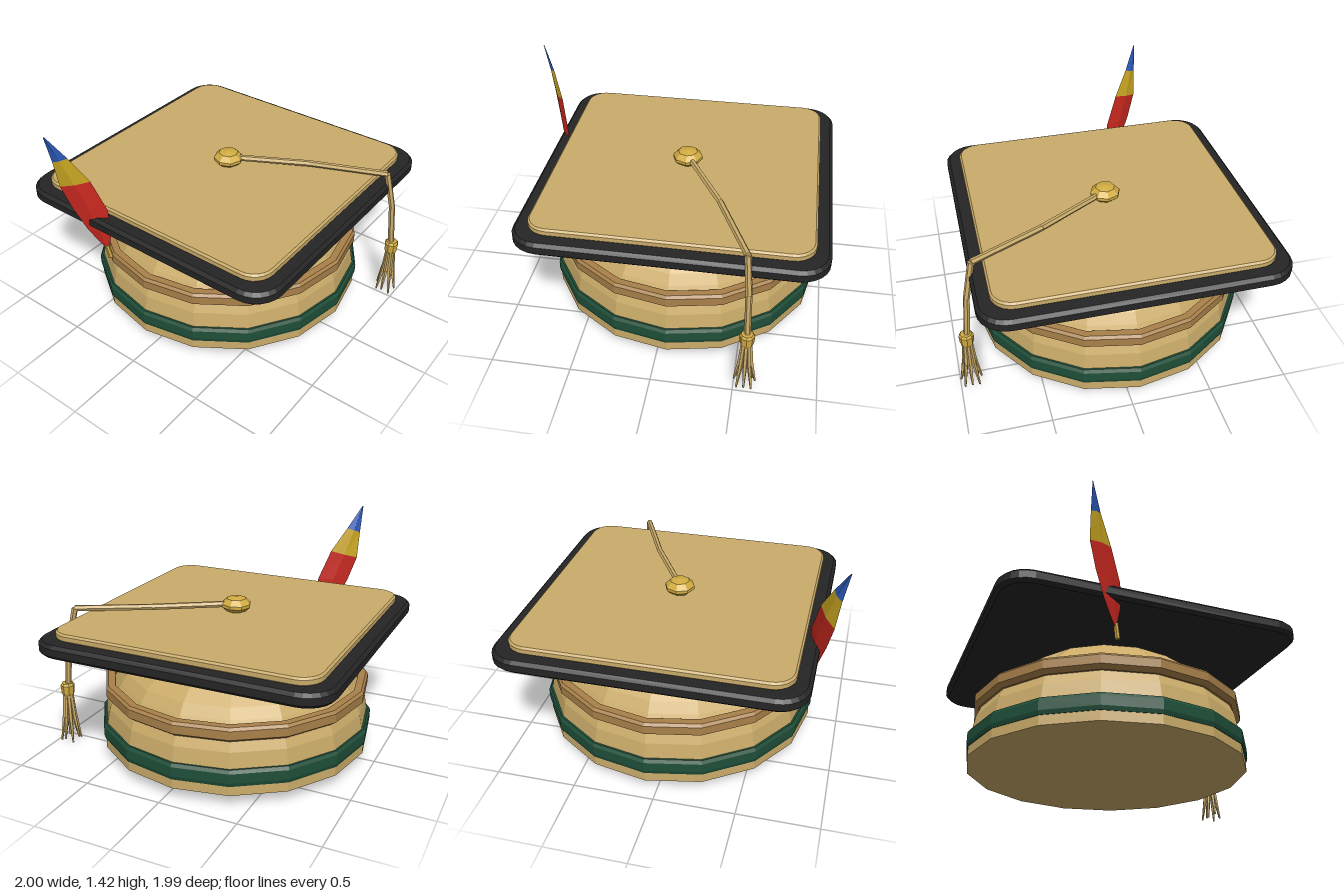
import * as THREE from 'three';

const mat = (name, color) => {
  const m = new THREE.MeshStandardMaterial({ color });
  m.name = name;
  return m;
};

// Faceted look: split the vertices so every face has its own normal
function facet(geo) {
  const g = geo.index ? geo.toNonIndexed() : geo;
  g.computeVertexNormals();
  return g;
}

function part(parent, name, geo, material) {
  const m = new THREE.Mesh(facet(geo), material);
  m.name = name;
  parent.add(m);
  return m;
}

const lathe = (pts, sides) =>
  new THREE.LatheGeometry(pts.map(([r, y]) => new THREE.Vector2(r, y)), sides);

// Square slab with rounded corners and chamfered rims, lying flat
function slab(half, corner, bottom, top, bevel) {
  const h = half - bevel, r = corner, s = new THREE.Shape();
  s.moveTo(-h + r, -h);
  s.lineTo(h - r, -h);
  s.absarc(h - r, -h + r, r, -Math.PI / 2, 0);
  s.lineTo(h, h - r);
  s.absarc(h - r, h - r, r, 0, Math.PI / 2);
  s.lineTo(-h + r, h);
  s.absarc(-h + r, h - r, r, Math.PI / 2, Math.PI);
  s.lineTo(-h, -h + r);
  s.absarc(-h + r, -h + r, r, Math.PI, Math.PI * 1.5);
  const g = new THREE.ExtrudeGeometry(s, {
    depth: top - bottom - 2 * bevel, curveSegments: 3,
    bevelEnabled: true, bevelSize: bevel, bevelThickness: bevel, bevelSegments: 1,
  });
  return g.rotateX(-Math.PI / 2).translate(0, bottom + bevel, 0);
}

// Tapered rod between two points
function rod(a, b, ra, rb, sides) {
  const p = new THREE.Vector3(...a), q = new THREE.Vector3(...b);
  const d = q.clone().sub(p);
  const g = new THREE.CylinderGeometry(rb, ra, d.length(), sides);
  g.applyQuaternion(new THREE.Quaternion().setFromUnitVectors(
    new THREE.Vector3(0, 1, 0), d.normalize()));
  const c = p.add(q).multiplyScalar(0.5);
  return g.translate(c.x, c.y, c.z);
}

// Feather blade: diamond cross-sections given by their outer and inner edges
function blade(sections) {
  const pos = [], idx = [];
  for (const [a, b, t] of sections) {
    const m = a.map((v, i) => (v + b[i]) / 2);
    pos.push(...a, m[0] + 0.87 * t, m[1], m[2] - 0.5 * t,
      ...b, m[0] - 0.87 * t, m[1], m[2] + 0.5 * t);
  }
  for (let s = 0; s < sections.length - 1; s++) {
    for (let i = 0; i < 4; i++) {
      const p = s * 4 + i, q = s * 4 + (i + 1) % 4;
      idx.push(p, p + 4, q, q, p + 4, q + 4);
    }
  }
  const g = new THREE.BufferGeometry();
  g.setAttribute('position', new THREE.Float32BufferAttribute(pos, 3));
  g.setIndex(idx);
  return g;
}

export function createModel() {
  const tan = mat('tan cloth', 0xcaab69);
  const brown = mat('brown band', 0xa9814a);
  const black = mat('black board', 0x252525);
  const green = mat('green ribbon', 0x1f4f39);
  const gold = mat('gold', 0xd2ac42);
  const red = mat('feather red', 0xc8281f);
  const yellow = mat('feather yellow', 0xcaa622);
  const blue = mat('feather blue', 0x2b59b8);

  const model = new THREE.Group();
  model.name = 'graduationCap';

  // Cap body, bands and board share one off-centre axis
  const cap = new THREE.Group();
  cap.name = 'cap';
  cap.position.set(0.067, 0, -0.06);
  model.add(cap);

  part(cap, 'crown', lathe([[0, 0.08], [0.878, 0.08], [0.875, 0.2], [0.862, 0.25],
    [0.845, 0.34], [0.81, 0.42], [0.762, 0.5], [0.72, 0.56], [0.53, 0.71],
    [0.28, 0.785], [0, 0.79]], 16), tan);
  part(cap, 'ribbon', lathe([[0.85, 0.14], [0.88, 0.14], [0.888, 0.165], [0.888, 0.225],
    [0.875, 0.245], [0.85, 0.245], [0.85, 0.14]], 16), green);
  part(cap, 'brownBand', lathe([[0.8, 0.402], [0.83, 0.402], [0.86, 0.425], [0.86, 0.48],
    [0.845, 0.497], [0.8, 0.497], [0.8, 0.402]], 16), brown);
  part(cap, 'board', slab(0.932, 0.16, 0.77, 0.855, 0.02), black);
  part(cap, 'topPanel', slab(0.845, 0.12, 0.85, 0.902, 0.012), tan);
  part(cap, 'button', lathe([[0, 0.9], [0.06, 0.9], [0.095, 0.93], [0.095, 0.95],
    [0.062, 0.983], [0, 0.995]], 8), gold);

  // Cord from the button, over the front edge and down to the tassel
  const cord = new THREE.Group();
  cord.name = 'cord';
  model.add(cord);
  const path = [[0.09, 0.945, -0.02], [0.33, 0.937, 0.4], [0.535, 0.925, 0.85],
    [0.557, 0.68, 0.9], [0.565, 0.39, 0.925]];
  for (let i = 0; i < path.length - 1; i++) {
    part(cord, 'cordSegment' + i, rod(path[i], path[i + 1], 0.02, 0.02, 6), tan);
  }

  // Tassel: gold collar with eight splayed strands
  const tassel = new THREE.Group();
  tassel.name = 'tassel';
  tassel.position.set(0.565, 0, 0.93);
  model.add(tassel);
  part(tassel, 'collar', lathe([[0, 0.325], [0.036, 0.325], [0.042, 0.34], [0.046, 0.395],
    [0.036, 0.41], [0, 0.41]], 8), gold);
  for (let i = 0; i < 8; i++) {
    const a = i * Math.PI / 4, tip = i % 2 ? 0 : 0.025;
    const at = (r, y) => [r * Math.cos(a), y, r * Math.sin(a)];
    part(tassel, 'strandTop' + i, rod(at(0.02, 0.335), at(0.035, 0.16), 0.014, 0.014, 5), tan);
    part(tassel, 'strandTip' + i, rod(at(0.035, 0.17), at(0.064, tip), 0.014, 0.006, 5), tan);
  }

  // Three-coloured feather tucked beside the board
  const feather = new THREE.Group();
  feather.name = 'feather';
  model.add(feather);
  const s = [
    [[-0.815, 0.62, -0.345], [-0.795, 0.62, -0.325], 0.008],
    [[-0.865, 0.75, -0.425], [-0.795, 0.76, -0.3], 0.013],
    [[-0.905, 0.9, -0.49], [-0.8, 0.91, -0.305], 0.015],
    [[-0.94, 1.06, -0.54], [-0.845, 1.11, -0.378], 0.013],
    [[-0.965, 1.24, -0.545], [-0.915, 1.27, -0.468], 0.01],
    [[-1, 1.42, -0.55], [-0.995, 1.42, -0.545], 0.002],
  ];
  part(feather, 'featherBase', blade(s.slice(0, 4)), red);
  part(feather, 'featherMiddle', blade(s.slice(3, 5)), yellow);
  part(feather, 'featherTip', blade(s.slice(4)), blue);
  part(feather, 'quill', rod([-0.8, 0.55, -0.32], [-0.81, 0.64, -0.335], 0.016, 0.014, 6), gold);

  return model;
}
